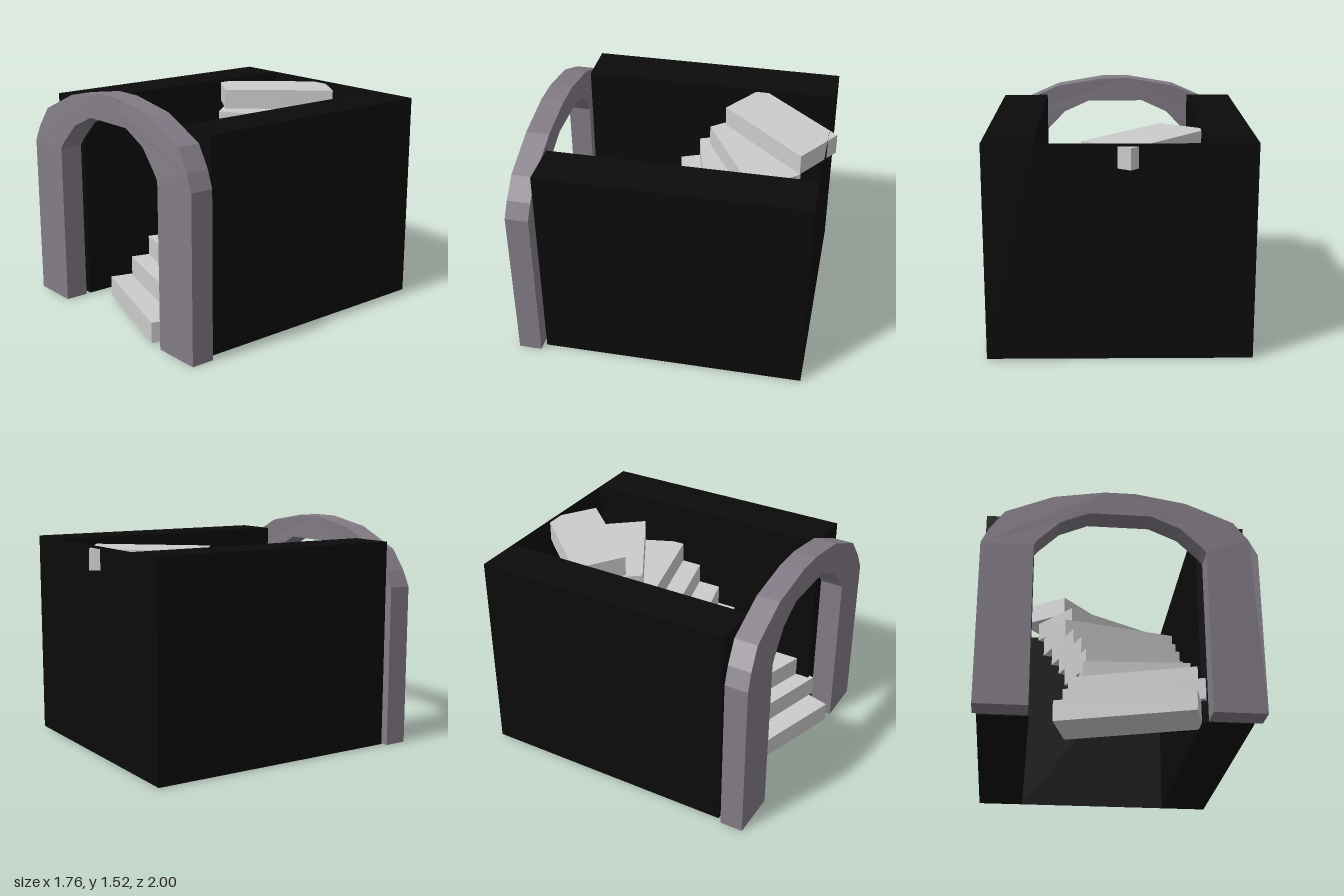
import * as THREE from 'three';

const material = (color, side = THREE.FrontSide) =>
  new THREE.MeshStandardMaterial({ color, side, flatShading: true });

export function createModel() {
  const model = new THREE.Group();
  model.name = 'archedStairwell';
  const stone = material(0xcccccc);
  const dark = material(0x0b0b0b, THREE.DoubleSide);
  const archStone = material(0x827b85);

  const add = (name, geometry, mat) => {
    const mesh = new THREE.Mesh(geometry, mat);
    mesh.name = name;
    model.add(mesh);
    return mesh;
  };

  // Side walls and the thin back wall joining them
  for (const [name, x0, x1] of [['rightWall', -0.855, -0.54], ['leftWall', 0.515, 0.835]]) {
    add(name, new THREE.BoxGeometry(x1 - x0, 1.395, 1.76), dark)
      .position.set((x0 + x1) / 2, 0.7025, -0.065);
  }
  add('backWall', new THREE.PlaneGeometry(1.055, 1.395), dark)
    .position.set(-0.0125, 0.7025, -0.945);

  // Winding steps, bottom to top: front right corner, front left corner, run towards the back (x, z)
  const steps = [
    [-0.395, 0.73, 0.455, 0.995, 0.09, -0.31],
    [-0.33, 0.595, 0.535, 0.85, 0.09, -0.31],
    [-0.29, 0.475, 0.58, 0.74, 0.09, -0.31],
    [-0.19, 0.435, 0.68, 0.485, -0.015, -0.33],
    [-0.165, 0.34, 0.69, 0.165, -0.125, -0.31],
    [-0.19, 0.24, 0.65, 0.035, -0.135, -0.32],
    [-0.235, 0.085, 0.61, -0.115, -0.135, -0.32],
    [-0.285, -0.04, 0.545, -0.24, -0.14, -0.33],
    [-0.235, -0.12, 0.46, -0.52, -0.23, -0.28],
    [-0.285, -0.22, 0.23, -0.795, -0.305, -0.205],
  ];
  const rise = 0.137;
  steps.forEach(([ax, az, bx, bz, dx, dz], i) => {
    const outline = [[ax, az], [bx, bz], [bx + dx, bz + dz], [ax + dx, az + dz]];
    const shape = new THREE.Shape(outline.map(([x, z]) => new THREE.Vector2(x, -z)));
    const geometry = new THREE.ExtrudeGeometry(shape, { depth: rise, bevelEnabled: false });
    geometry.rotateX(-Math.PI / 2);
    add(`step${i + 1}`, geometry, stone).position.y = 0.012 + i * rise;
  });

  // Faceted arch: half outline mirrored, with the crown leaning back slightly
  const mirrored = (half) => [...half, ...half.map(([x, y]) => [-x, y]).reverse()];
  const outer = mirrored([[0.88, 0], [0.88, 1.09], [0.83, 1.2], [0.735, 1.335], [0.43, 1.47], [0.1, 1.525]]);
  const inner = mirrored([[0.548, 0], [0.548, 1.09], [0.52, 1.13], [0.385, 1.27], [0.2, 1.355]]);
  const archShape = new THREE.Shape(
    [...outer, ...inner.reverse()].map(([x, y]) => new THREE.Vector2(x, y)));
  const arch = new THREE.ExtrudeGeometry(archShape, { depth: 0.155, bevelEnabled: false });
  const p = arch.attributes.position;
  for (let i = 0; i < p.count; i++) {
    const lean = THREE.MathUtils.clamp((p.getY(i) - 1.1) / 0.35, 0, 1);
    p.setZ(i, p.getZ(i) + 0.842 - 0.027 * lean);
  }
  arch.computeVertexNormals();
  add('arch', arch, archStone);

  return model;
}
